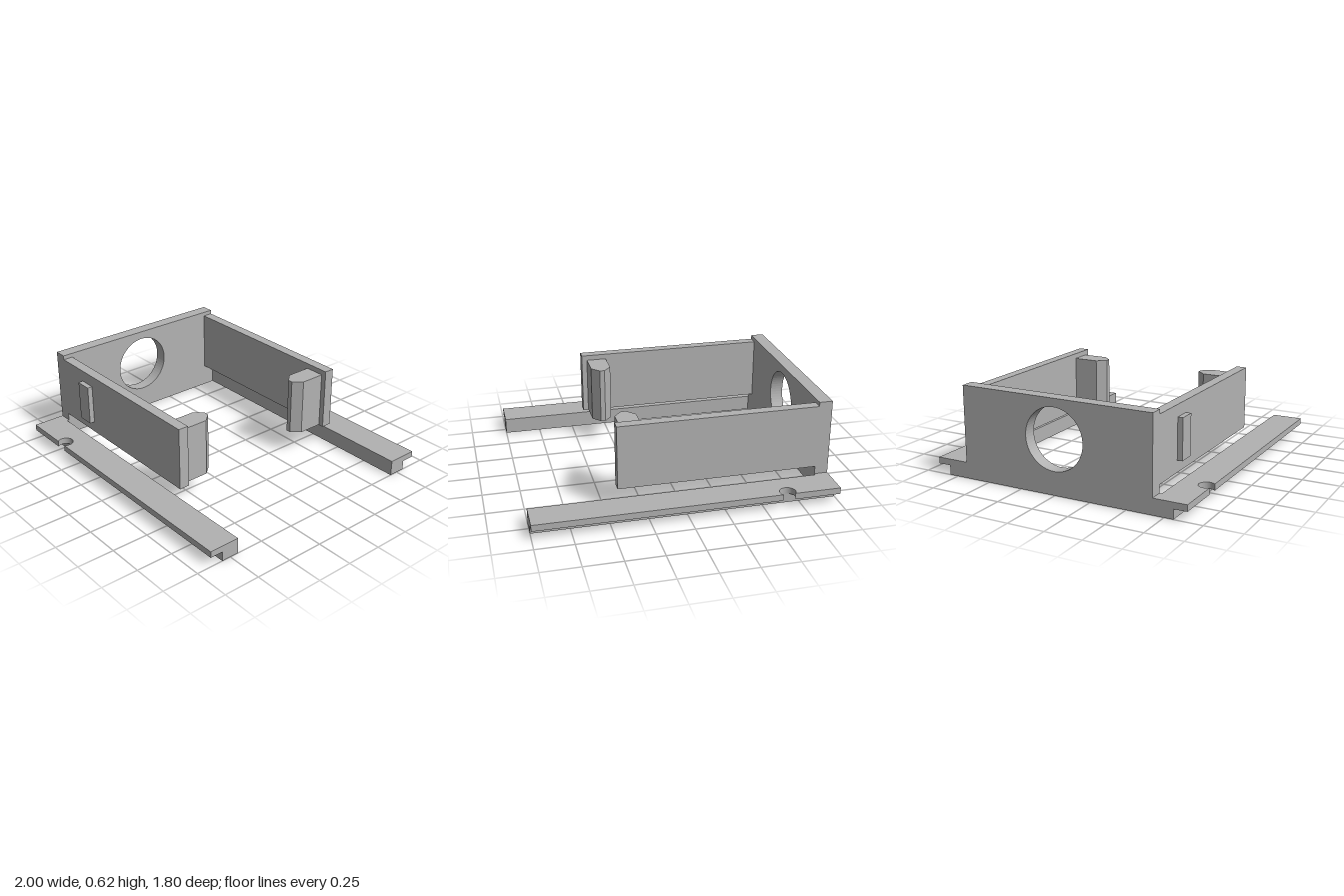
import * as THREE from 'three';

export function createModel() {
  const model = new THREE.Group();
  model.name = 'bracket';
  const grey = new THREE.MeshStandardMaterial({ color: 0xb2b2b2 });
  grey.name = 'grey plastic';

  const add = (name, geometry) => {
    const mesh = new THREE.Mesh(geometry, grey);
    mesh.name = name;
    model.add(mesh);
  };
  // box given by its limits on each axis
  const box = (name, x0, x1, y0, y1, z0, z1) =>
    add(name, new THREE.BoxGeometry(x1 - x0, y1 - y0, Math.abs(z1 - z0))
      .translate((x0 + x1) / 2, (y0 + y1) / 2, (z0 + z1) / 2));
  // upright prism from an outline of [x, z] points
  const prism = (name, points, side, y0, y1) => {
    const shape = new THREE.Shape(points.map(([x, z]) => new THREE.Vector2(x, side * z)));
    add(name, new THREE.ExtrudeGeometry(shape, { depth: y1 - y0, bevelEnabled: false })
      .rotateX(Math.PI / 2).translate(0, y1, 0));
  };

  // end wall with wider foot and round opening
  const wall = new THREE.Shape([
    [-0.69, 0], [0.69, 0], [0.69, 0.108], [0.675, 0.108],
    [0.675, 0.623], [-0.675, 0.623], [-0.675, 0.108], [-0.69, 0.108],
  ].map(([z, y]) => new THREE.Vector2(z, y)));
  wall.holes.push(new THREE.Path().absarc(0, 0.362, 0.205, 0, Math.PI * 2, true));
  add('endWall', new THREE.ExtrudeGeometry(wall, { depth: 0.09, bevelEnabled: false, curveSegments: 32 })
    .rotateY(Math.PI / 2).translate(-1, 0, 0));

  // round notch open to the outer edge of the rail
  const notch = [];
  const open = Math.asin(0.035 / 0.053);
  for (let i = 0; i <= 32; i++) {
    const a = open - (i / 32) * (Math.PI + 2 * open);
    notch.push([-0.65 + 0.053 * Math.cos(a), 0.865 + 0.053 * Math.sin(a)]);
  }
  const flange = [[-1, 0.69], [1, 0.69], [1, 0.9], ...notch, [-1, 0.9]];
  // pointed catch at the free end of each arm
  const hook = [[0.245, 0.605], [0.245, 0.43], [0.298, 0.37], [0.332, 0.37], [0.385, 0.43], [0.385, 0.605]];

  for (const [label, side] of [['front', 1], ['back', -1]]) {
    box(label + 'RailWeb', -1, 1, 0, 0.065, side * 0.69, side * 0.812);
    prism(label + 'RailFlange', flange, side, 0.065, 0.108);
    box(label + 'Arm', -0.91, 0.422, 0.162, 0.594, side * 0.605, side * 0.675);
    prism(label + 'Hook', hook, side, 0.165, 0.558);
  }

  // plain raised pad on the front arm
  box('raisedPad', -0.672, -0.556, 0.24, 0.515, 0.675, 0.71);
  return model;
}
